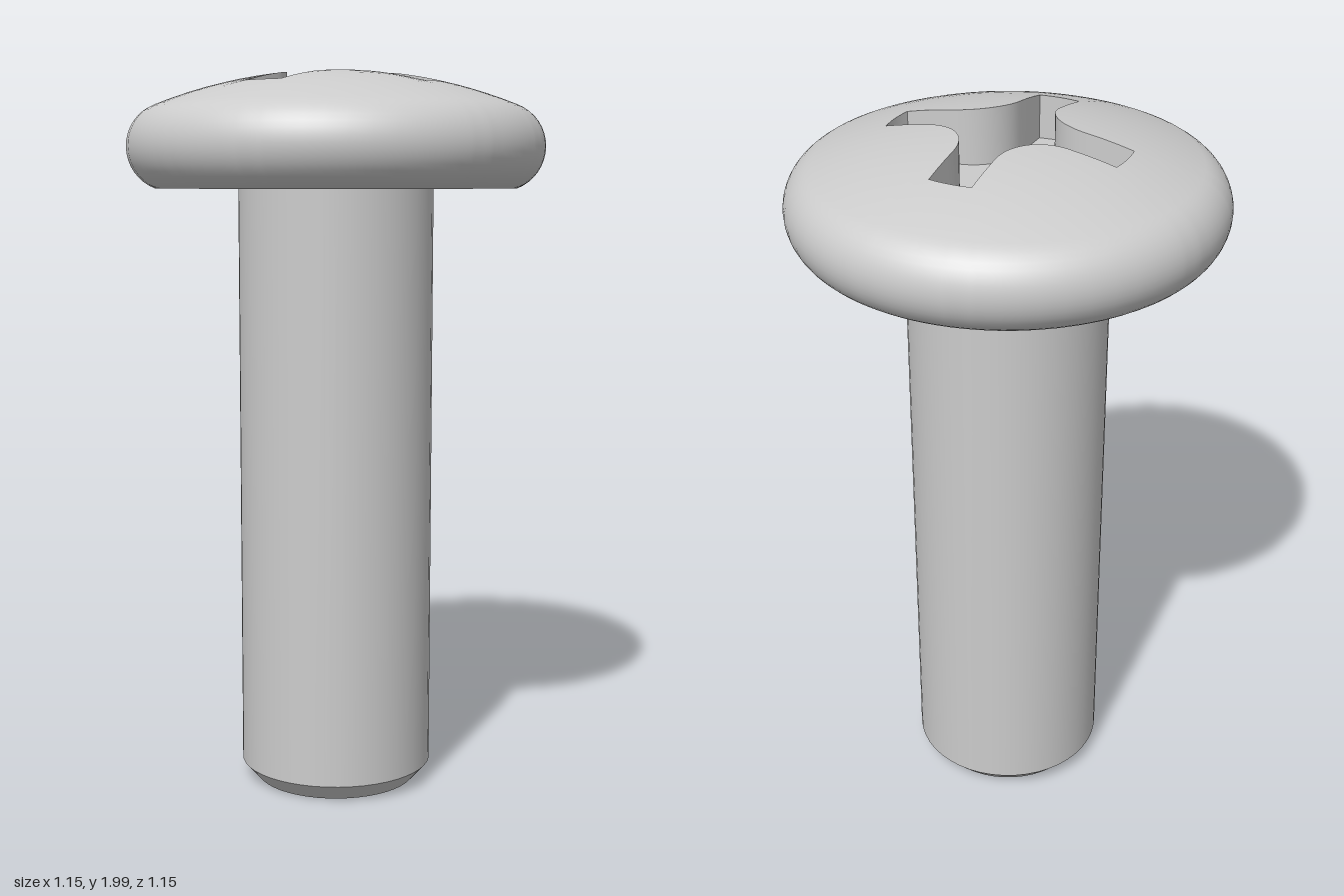
import * as THREE from 'three';
import { toCreasedNormals } from 'three/addons/utils/BufferGeometryUtils.js';

const SHANK_R = 0.27, HEAD_BASE = 1.68, TOP = 2;
const RIM_X = 0.455, RIM_Y = 1.792, RIM_R = 0.12, RIM_ANGLE = THREE.MathUtils.degToRad(69);
const DOME_EDGE = RIM_X + RIM_R * Math.cos(RIM_ANGLE);
const DOME_R = 1.34;
const FLOOR = 1.84, ARM_HALF = 0.057, ARM_LENGTH = 0.323, FILLET = 0.133;

const domeY = (r) => TOP - DOME_R + Math.sqrt(DOME_R * DOME_R - r * r);

// Cross outline as [x, z] points: one quarter, repeated four times
function crossOutline() {
  const quarter = [];
  const corner = Math.asin(ARM_HALF / ARM_LENGTH);
  const start = ARM_HALF + FILLET, end = ARM_LENGTH * Math.cos(corner);
  for (let i = 0; i <= 3; i++) {
    const a = (corner * i) / 3;
    quarter.push([ARM_LENGTH * Math.cos(a), ARM_LENGTH * Math.sin(a)]);
  }
  for (let i = 1; i < 3; i++) quarter.push([end + ((start - end) * i) / 3, ARM_HALF]);
  for (let i = 0; i <= 14; i++) {
    const a = (Math.PI / 2) * (i / 14);
    quarter.push([start - FILLET * Math.sin(a), start - FILLET * Math.cos(a)]);
  }
  for (let i = 1; i < 3; i++) quarter.push([ARM_HALF, start + ((end - start) * i) / 3]);
  for (let i = 3; i >= 1; i--) {
    const a = Math.PI / 2 - (corner * i) / 3;
    quarter.push([ARM_LENGTH * Math.cos(a), ARM_LENGTH * Math.sin(a)]);
  }
  const outline = [];
  for (let q = 0; q < 4; q++) {
    const c = Math.round(Math.cos((q * Math.PI) / 2)), s = Math.round(Math.sin((q * Math.PI) / 2));
    for (const [x, z] of quarter) outline.push([x * c - z * s, x * s + z * c]);
  }
  return outline;
}

// Closed surface strip through successive rings of [x, y, z] points
function loft(rings) {
  const n = rings[0].length, index = [];
  for (let j = 0; j < rings.length - 1; j++) {
    for (let i = 0; i < n; i++) {
      const a = j * n + i, b = j * n + ((i + 1) % n);
      index.push(a, b, a + n, b, b + n, a + n);
    }
  }
  const geometry = new THREE.BufferGeometry();
  geometry.setAttribute('position', new THREE.Float32BufferAttribute(rings.flat(2), 3));
  geometry.setIndex(index);
  geometry.computeVertexNormals();
  return geometry;
}

export function createModel() {
  const group = new THREE.Group();
  const material = new THREE.MeshStandardMaterial({ color: 0xcccccc });
  const add = (name, geometry, y = 0) => {
    const mesh = new THREE.Mesh(geometry, material);
    mesh.name = name;
    mesh.position.y = y;
    group.add(mesh);
  };

  const cross = crossOutline();
  const angles = cross.map(([x, z]) => Math.atan2(z, x));
  const circle = (r, y) => angles.map((a) => [r * Math.cos(a), y, r * Math.sin(a)]);
  const crossAt = (y) => cross.map(([x, z]) => [x, y, z]);

  // Domed top from the cross edge outwards, running on into the rounded rim
  const headRings = [];
  for (let j = 0; j <= 8; j++) {
    headRings.push(cross.map(([x, z], i) => {
      const r = THREE.MathUtils.lerp(Math.hypot(x, z), DOME_EDGE, j / 8);
      return [r * Math.cos(angles[i]), domeY(r), r * Math.sin(angles[i])];
    }));
  }
  for (let j = 1; j <= 16; j++) {
    const a = RIM_ANGLE * (1 - j / 8);
    headRings.push(circle(RIM_X + RIM_R * Math.cos(a), RIM_Y + RIM_R * Math.sin(a)));
  }
  add('head', loft(headRings));
  add('headUnderside', loft([circle(DOME_EDGE, HEAD_BASE), circle(SHANK_R - 0.01, HEAD_BASE)]));

  // Cross recess
  const lip = cross.map(([x, z]) => [x, domeY(Math.hypot(x, z)), z]);
  add('recessWalls', toCreasedNormals(loft([crossAt(FLOOR), lip]), 0.6));
  add('recessFloor', loft([cross.map(() => [0, FLOOR, 0]), crossAt(FLOOR)]));

  // Shank with chamfered tip
  const chamfer = 0.05, length = HEAD_BASE - chamfer;
  add('shank', new THREE.CylinderGeometry(SHANK_R, SHANK_R, length, 48, 1, true), chamfer + length / 2);
  add('shankTip', new THREE.CylinderGeometry(SHANK_R, 0.225, chamfer, 48), chamfer / 2);

  return group;
}
